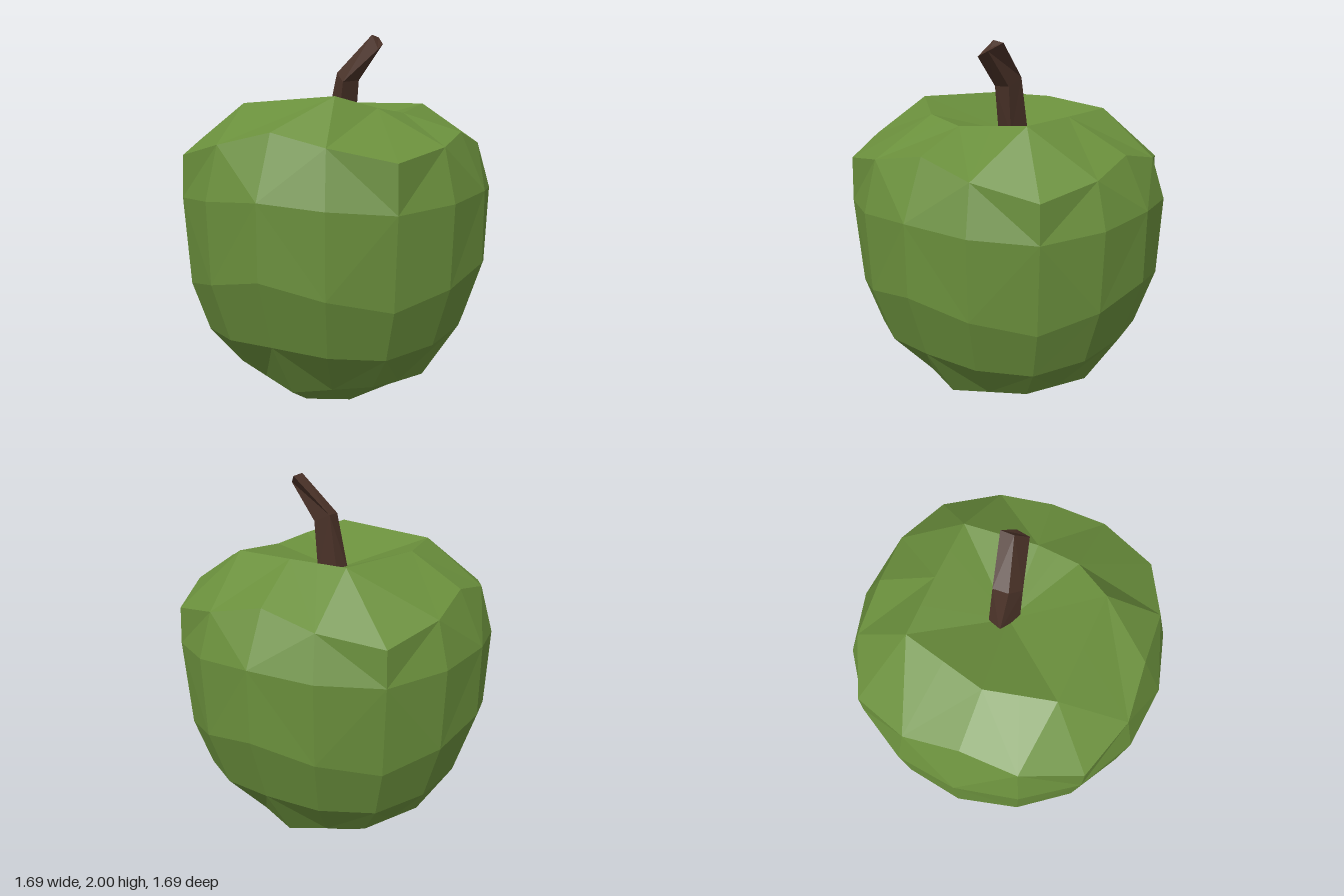
import * as THREE from 'three';

const V = (x, y, z) => new THREE.Vector3(x, y, z);

// Skin a stack of equal-length loops (each clockwise seen from above, bottom to top).
function loft(loops, material, name) {
  const pos = [];
  const tri = (a, b, c) => {
    const area = b.clone().sub(a).cross(c.clone().sub(a)).length();
    if (area > 1e-7) for (const p of [a, b, c]) pos.push(p.x, p.y, p.z);
  };
  for (let j = 0; j < loops.length - 1; j++) {
    const lo = loops[j], up = loops[j + 1], n = lo.length;
    for (let i = 0; i < n; i++) {
      const k = (i + 1) % n;
      if ((i + j) % 2) {
        tri(lo[i], up[i], up[k]);
        tri(lo[i], up[k], lo[k]);
      } else {
        tri(lo[i], up[i], lo[k]);
        tri(up[i], up[k], lo[k]);
      }
    }
  }
  const geometry = new THREE.BufferGeometry();
  geometry.setAttribute('position', new THREE.Float32BufferAttribute(pos, 3));
  geometry.computeVertexNormals();
  const mesh = new THREE.Mesh(geometry, material);
  mesh.name = name;
  return mesh;
}

// Loop of n points; radius and height swing between the four sides and the four corners.
function ring(n, rSide, rCorner, ySide, yCorner, tilt = () => 0, turn = 0) {
  return Array.from({ length: n }, (_, i) => {
    const a = (i / n) * Math.PI * 2;
    const t = (1 - Math.cos(4 * a)) / 2;
    const r = THREE.MathUtils.lerp(rSide, rCorner, t);
    const x = r * Math.cos(a + turn), z = r * Math.sin(a + turn);
    return V(x, THREE.MathUtils.lerp(ySide, yCorner, t) + tilt(x, z), z);
  });
}

// Insert midpoints so that a coarse loop joins a loop with twice the points.
const doubled = (loop) =>
  loop.flatMap((p, i) => [p, p.clone().lerp(loop[(i + 1) % loop.length], 0.5)]);

const point = (p, n) => Array.from({ length: n }, () => p.clone());

export function createModel() {
  const group = new THREE.Group();
  group.name = 'apple';
  const skin = new THREE.MeshStandardMaterial({ color: 0x6a8f3c, flatShading: true });
  const bark = new THREE.MeshStandardMaterial({ color: 0x4a3228, flatShading: true });

  // Uneven rim around the hollow at the top, starting at the left (+x)
  const rim = [
    V(0.4, 1.59, 0.02), V(0.35, 1.62, 0.25), V(0.2, 1.68, 0.43), V(-0.37, 1.64, 0.37),
    V(-0.43, 1.64, 0.02), V(-0.29, 1.63, -0.42), V(0.04, 1.63, -0.4), V(0.37, 1.63, -0.37),
  ];

  // Fruit: pole, slightly tilted base, belly, squarish shoulder, rim and hollow
  const fruit = [
    point(V(0, 0.03, 0), 16),
    doubled(ring(8, 0.32, 0.32, 0.025, 0.025, (x, z) => 0.05 * (x - z), 0.1)),
    doubled(ring(8, 0.53, 0.57, 0.14, 0.2)),
    ring(16, 0.73, 0.74, 0.46, 0.41),
    ring(16, 0.845, 0.83, 0.82, 0.68),
    ring(16, 0.845, 0.86, 1.2, 1.15),
    ring(16, 0.71, 0.85, 1.49, 1.36, (x, z) => 0.035 * z + 0.01 * x),
    doubled(rim),
    point(V(0, 1.5, 0), 16),
  ];
  group.add(loft(fruit, skin, 'fruit'));

  // Bent four-sided stem, each section listed left edge, back, right, front
  const base = [V(-0.08, 1.5, -0.02), V(-0.05, 1.5, -0.09), V(0.08, 1.5, -0.07), V(0.03, 1.5, 0.05)];
  const bend = [V(0, 1.8, 0), V(0, 1.8, -0.08), V(0.1, 1.76, -0.07), V(0.06, 1.75, 0.05)];
  const tip = [V(0.19, 2, -0.04), V(0.2, 1.99, -0.11), V(0.25, 1.95, -0.05), V(0.25, 1.92, 0.015)];
  const stem = [point(V(0, 1.5, -0.03), 4), base, bend, tip, point(V(0.222, 1.965, -0.046), 4)];
  group.add(loft(stem, bark, 'stem'));

  return group;
}
